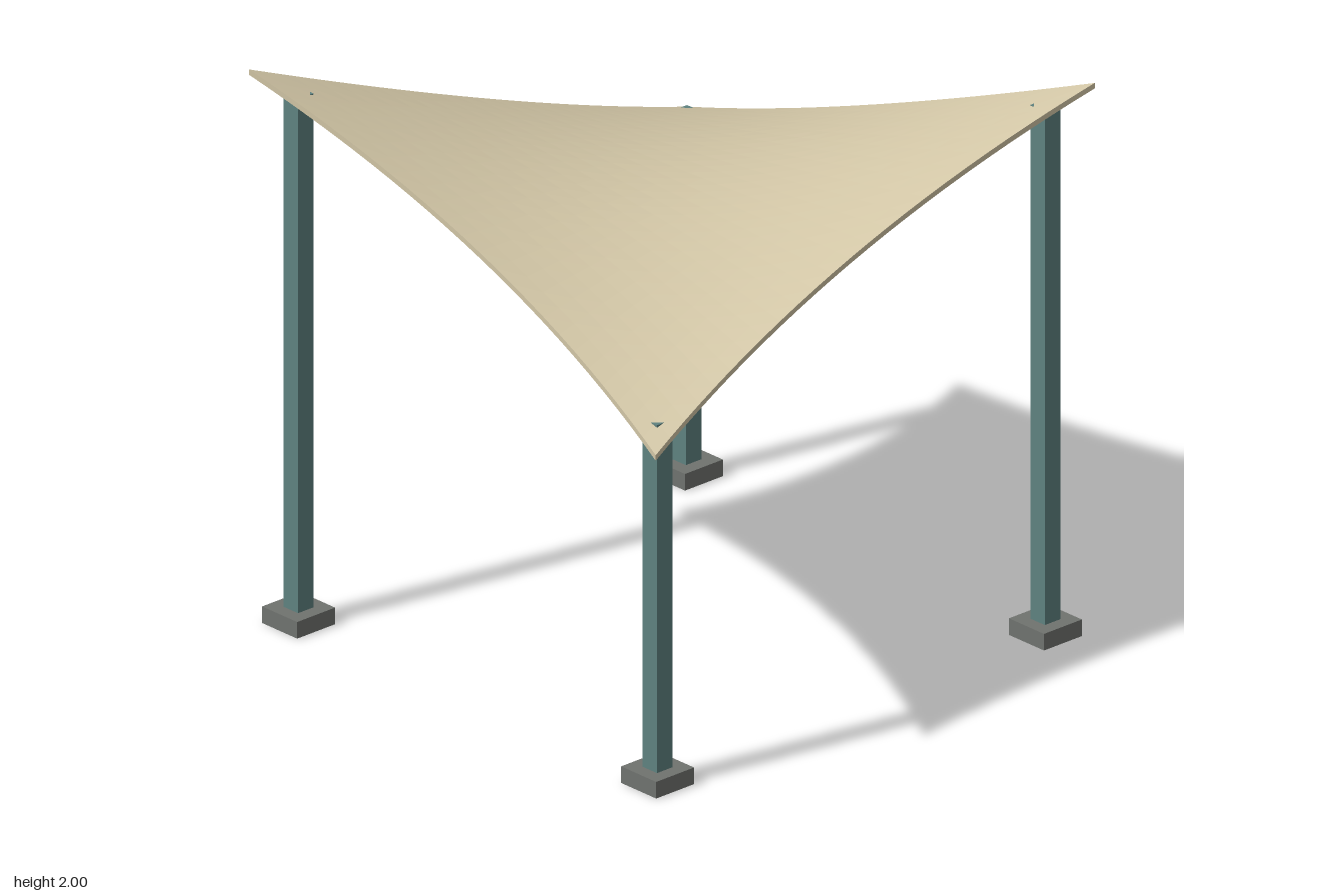
import * as THREE from 'three';

const HALF = 0.985;     // corner reach of the sail
const INSET = 0.122;    // how far the edges bow inwards
const MID = 1.62;       // height of the saddle centre
const RISE = 0.37;      // corner rise and fall
const THICK = 0.02;

// Saddle-shaped canopy: a thin slab bent by a rule
function sailGeometry() {
  const geo = new THREE.BoxGeometry(2, THICK, 2, 24, 1, 24);
  const p = geo.attributes.position;
  for (let i = 0; i < p.count; i++) {
    const u = p.getX(i), v = p.getZ(i);
    p.setXYZ(
      i,
      HALF * u * (1 - INSET * (1 - v * v)),
      MID + p.getY(i) - RISE * u * v,
      HALF * v * (1 - INSET * (1 - u * u))
    );
  }
  geo.computeVertexNormals();
  return geo;
}

export function createModel() {
  const model = new THREE.Group();
  model.name = 'shadeCanopy';

  const fabric = new THREE.MeshStandardMaterial({ color: 0xd2c6a6, flatShading: true });
  fabric.name = 'sandFabric';
  const steel = new THREE.MeshStandardMaterial({ color: 0x5f8280 });
  steel.name = 'tealSteel';
  const concrete = new THREE.MeshStandardMaterial({ color: 0x70736f });
  concrete.name = 'greyConcrete';

  const add = (name, geo, mat, x, y, z) => {
    const mesh = new THREE.Mesh(geo, mat);
    mesh.name = name;
    mesh.position.set(x, y, z);
    model.add(mesh);
  };

  add('sail', sailGeometry(), fabric, 0, 0, 0);

  // Four posts on footings: two tall and two short, on opposite diagonals
  const reach = 0.87, footHeight = 0.06;
  for (const sx of [-1, 1]) {
    for (const sz of [-1, 1]) {
      const place = (sz > 0 ? 'front' : 'back') + (sx > 0 ? 'Left' : 'Right');
      const top = sx * sz < 0 ? 1.917 : 1.317;
      const height = top - footHeight;
      add(place + 'Footing', new THREE.BoxGeometry(0.17, footHeight, 0.17), concrete,
        sx * reach, footHeight / 2, sz * reach);
      add(place + 'Post', new THREE.BoxGeometry(0.07, height, 0.07), steel,
        sx * reach, footHeight + height / 2, sz * reach);
    }
  }
  return model;
}
